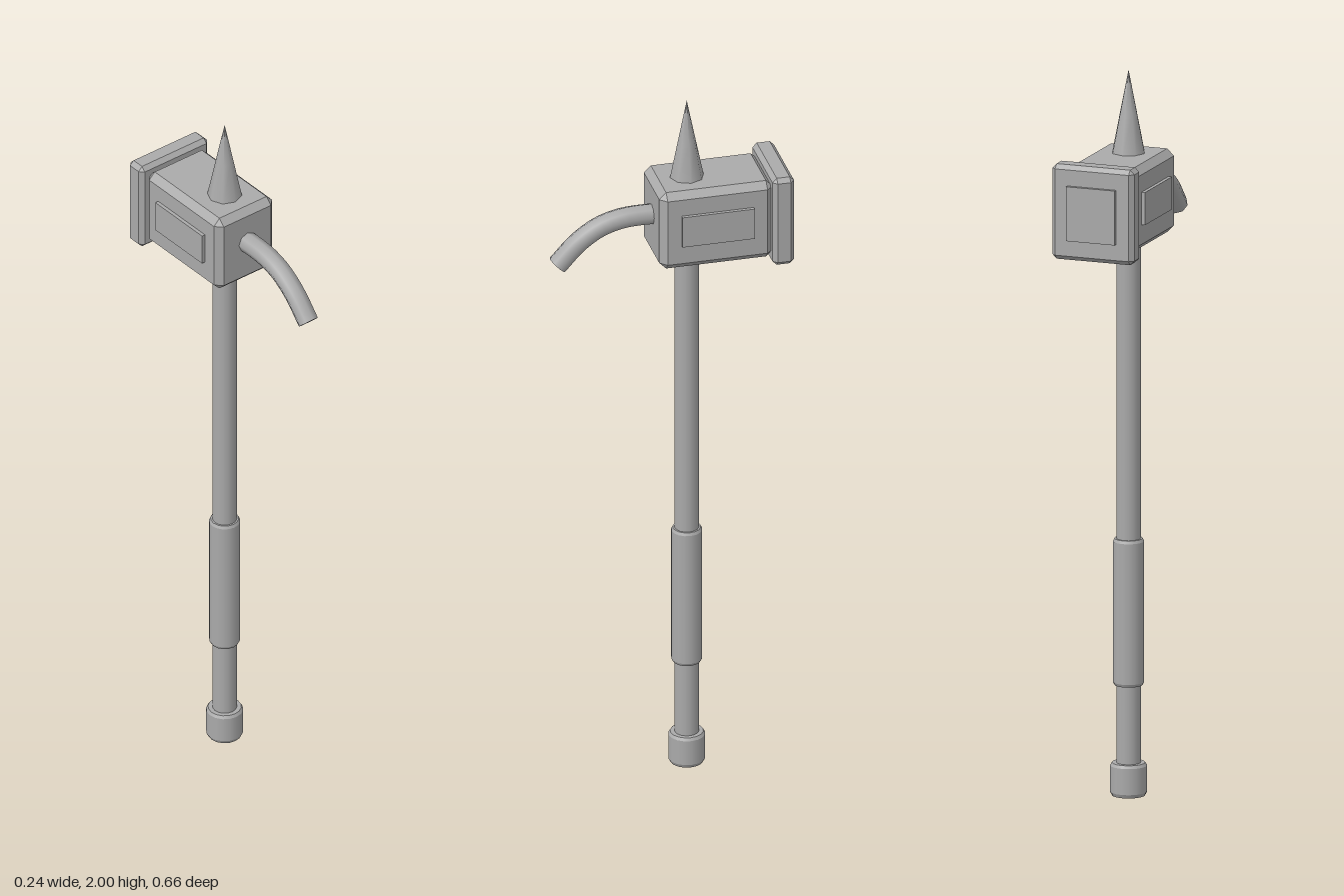
import * as THREE from 'three';
import { ConvexGeometry } from 'three/addons/geometries/ConvexGeometry.js';

const AXIS_Z = -0.05; // the shaft sits slightly behind the centre

// Box with every edge cut by a flat chamfer c
function chamferBox(w, h, d, c) {
  const pts = [];
  for (const sx of [-1, 1]) for (const sy of [-1, 1]) for (const sz of [-1, 1]) {
    const x = w / 2, y = h / 2, z = d / 2;
    pts.push(
      new THREE.Vector3(sx * x, sy * (y - c), sz * (z - c)),
      new THREE.Vector3(sx * (x - c), sy * y, sz * (z - c)),
      new THREE.Vector3(sx * (x - c), sy * (y - c), sz * z));
  }
  return new ConvexGeometry(pts);
}

export function createModel() {
  const model = new THREE.Group();
  model.name = 'warHammer';
  const steel = new THREE.MeshStandardMaterial({ color: 0xaaaaaa });
  steel.name = 'grey steel';

  const add = (name, geometry, x, y, z) => {
    const mesh = new THREE.Mesh(geometry, steel);
    mesh.name = name;
    mesh.position.set(x, y, z);
    model.add(mesh);
    return mesh;
  };
  // Upright round part between two heights on the shaft axis
  const round = (name, rTop, rBottom, y0, y1, sides = 16) =>
    add(name, new THREE.CylinderGeometry(rTop, rBottom, y1 - y0, sides), 0, (y0 + y1) / 2, AXIS_Z);

  // Shaft, grip and collar
  round('shaft', 0.033, 0.033, 0.05, 1.6);
  round('grip', 0.038, 0.042, 0.7, 0.708);
  round('grip', 0.042, 0.042, 0.312, 0.7);
  round('grip', 0.042, 0.038, 0.304, 0.312);
  round('headCollar', 0.062, 0.058, 1.53, 1.56);

  // Pommel with softened rims
  round('pommel', 0.05, 0.05, 0.01, 0.082);
  round('pommelTopRim', 0.045, 0.05, 0.082, 0.09);
  round('pommelBottomRim', 0.05, 0.045, 0, 0.01);

  // Head block and striking plate
  add('headBlock', chamferBox(0.2, 0.23, 0.315, 0.019), 0, 1.657, -0.11);
  add('strikingPlate', chamferBox(0.236, 0.262, 0.06, 0.012), 0, 1.657, -0.29);
  add('strikingFace', new THREE.BoxGeometry(0.14, 0.15, 0.015), 0, 1.657, -0.3225);
  for (const s of [-1, 1])
    add(s > 0 ? 'leftPanel' : 'rightPanel', new THREE.BoxGeometry(0.015, 0.09, 0.2), s * 0.1025, 1.66, -0.11);

  // Top spike
  add('spike', new THREE.ConeGeometry(0.049, 0.24, 8, 2), 0, 1.88, AXIS_Z);

  // Curved front hook: an eight-sided tube with a flat end
  const sides = 8, radius = 0.029;
  const curve = new THREE.CatmullRomCurve3([
    [0.02, 1.668], [0.07, 1.67], [0.13, 1.667], [0.19, 1.65], [0.25, 1.611], [0.309, 1.549],
  ].map(([z, y]) => new THREE.Vector3(0, y, z)));
  const hook = add('hook', new THREE.TubeGeometry(curve, 14, radius, sides), 0, 0, 0);
  hook.geometry.computeBoundingBox();
  const tip = add('hookTip', new THREE.CircleGeometry(radius, sides), 0, 0, 0);
  tip.position.copy(curve.getPoint(1));
  tip.lookAt(tip.position.clone().add(curve.getTangent(1)));

  return model;
}
